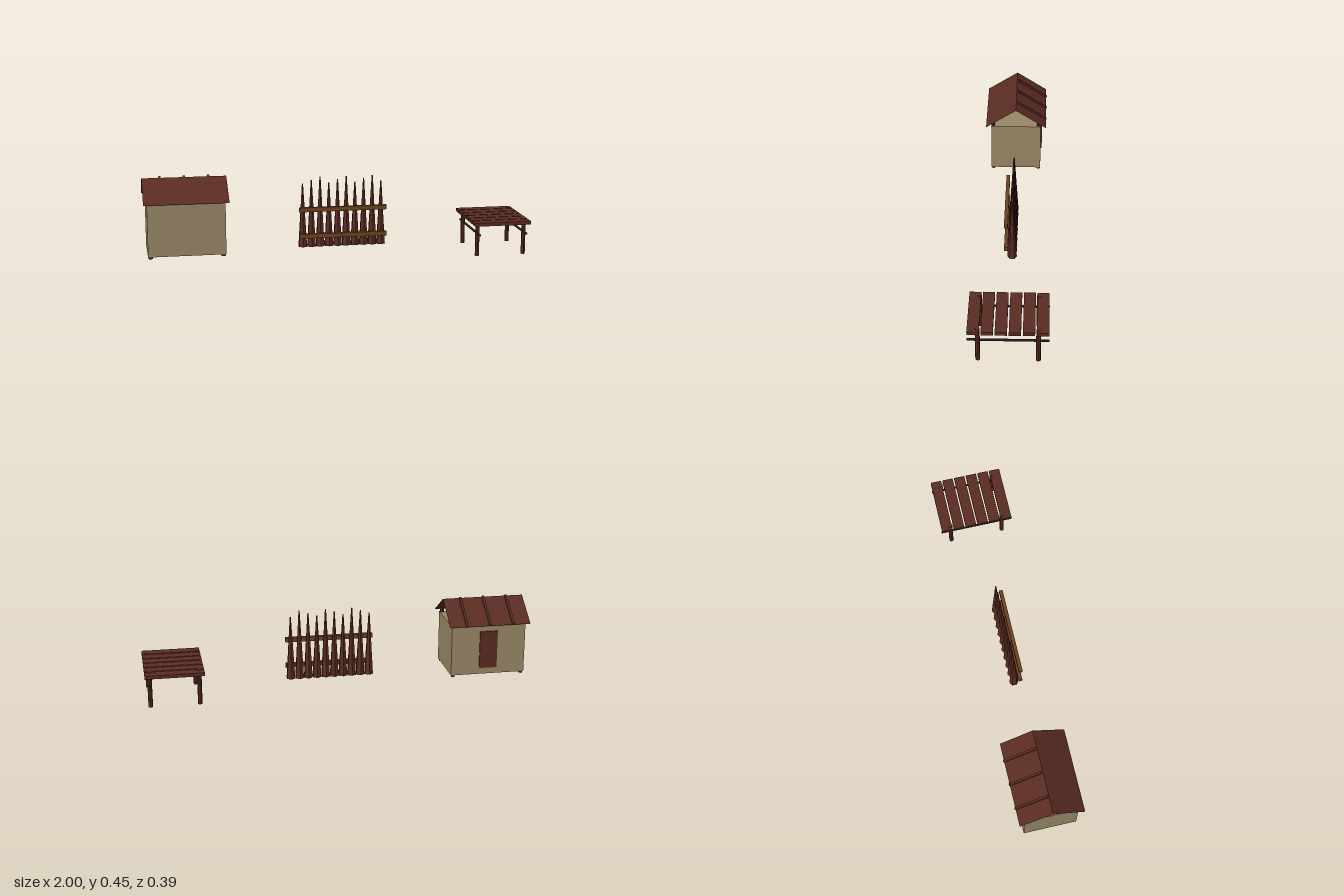
import * as THREE from 'three';

const mat = (name, color, extra = {}) => {
  const m = new THREE.MeshStandardMaterial({ color, flatShading: true, ...extra });
  m.name = name;
  return m;
};

export function createModel() {
  const wood = mat('darkWood', 0x5a2c22, { side: THREE.DoubleSide });
  const rail = mat('brownWood', 0x6e421e);
  const plaster = mat('tanPlaster', 0x988867);
  const iron = mat('darkIron', 0x303236);

  const add = (parent, name, geometry, material, x, y, z) => {
    const m = new THREE.Mesh(geometry, material);
    m.name = name;
    m.position.set(x, y, z);
    parent.add(m);
    return m;
  };
  const box = (w, h, d) => new THREE.BoxGeometry(w, h, d);
  const makeGroup = (parent, name, x = 0, y = 0, z = 0) => {
    const g = new THREE.Group();
    g.name = name;
    g.position.set(x, y, z);
    parent.add(g);
    return g;
  };

  const model = new THREE.Group();
  model.name = 'hutFenceAndTable';

  // Hut: plastered box on four corner posts, door at the back
  const hut = makeGroup(model, 'hut', -0.785);
  add(hut, 'walls', box(0.394, 0.267, 0.274), plaster, 0, 0.1965, 0);
  add(hut, 'door', box(0.094, 0.2, 0.008), wood, 0, 0.197, -0.14);
  for (const sx of [-1, 1]) for (const sz of [-1, 1]) {
    add(hut, 'cornerPost', new THREE.CylinderGeometry(0.0105, 0.0105, 0.298, 8), wood,
      sx * 0.184, 0.202, sz * 0.126);
  }

  // Roof: two thin slopes, battens on the back one
  const run = 0.165, drop = 0.108, length = Math.hypot(run, drop);
  for (const s of [1, -1]) {
    const slope = makeGroup(hut, s > 0 ? 'frontRoof' : 'backRoof', 0, 0.388, s * run / 2);
    slope.rotation.x = s * Math.atan2(drop, run);
    add(slope, 'roofSheet', new THREE.PlaneGeometry(0.43, length).rotateX(-Math.PI / 2), wood, 0, 0, 0);
    if (s < 0) for (const x of [-0.123, 0, 0.123]) {
      add(slope, 'roofBatten', box(0.012, 0.01, length), wood, x, 0.004, 0);
    }
  }

  // Fence: ten tapered hexagonal stakes and two rails
  const fence = makeGroup(model, 'fence', 0.031);
  for (let i = 0; i < 10; i++) {
    const h = [0.335, 0.351, 0.367][i % 3];
    add(fence, 'stake', new THREE.CylinderGeometry(0.0032, 0.0245, h, 6), wood,
      (i - 4.5) * 0.046, 0.053 + h / 2, 0);
  }
  for (const y of [0.115, 0.255]) {
    add(fence, 'fenceRail', box(0.46, 0.023, 0.019), rail, 0, y, 0.031);
  }

  // Table: six planks on four legs, with an iron bar along each end
  const table = makeGroup(model, 'table', 0.85);
  for (let i = 0; i < 6; i++) {
    add(table, 'tablePlank', box(0.3, 0.018, 0.057), wood, 0, 0.175, (i - 2.5) * 0.0655);
  }
  for (const sx of [-1, 1]) {
    for (const sz of [-1, 1]) {
      add(table, 'tableLeg', new THREE.CylinderGeometry(0.0115, 0.0115, 0.186, 8), wood,
        sx * 0.125, 0.093, sz * 0.143);
    }
    add(table, 'tableBar', new THREE.CylinderGeometry(0.006, 0.006, 0.388, 8).rotateX(Math.PI / 2),
      iron, sx * 0.125, 0.119, 0);
  }
  return model;
}
